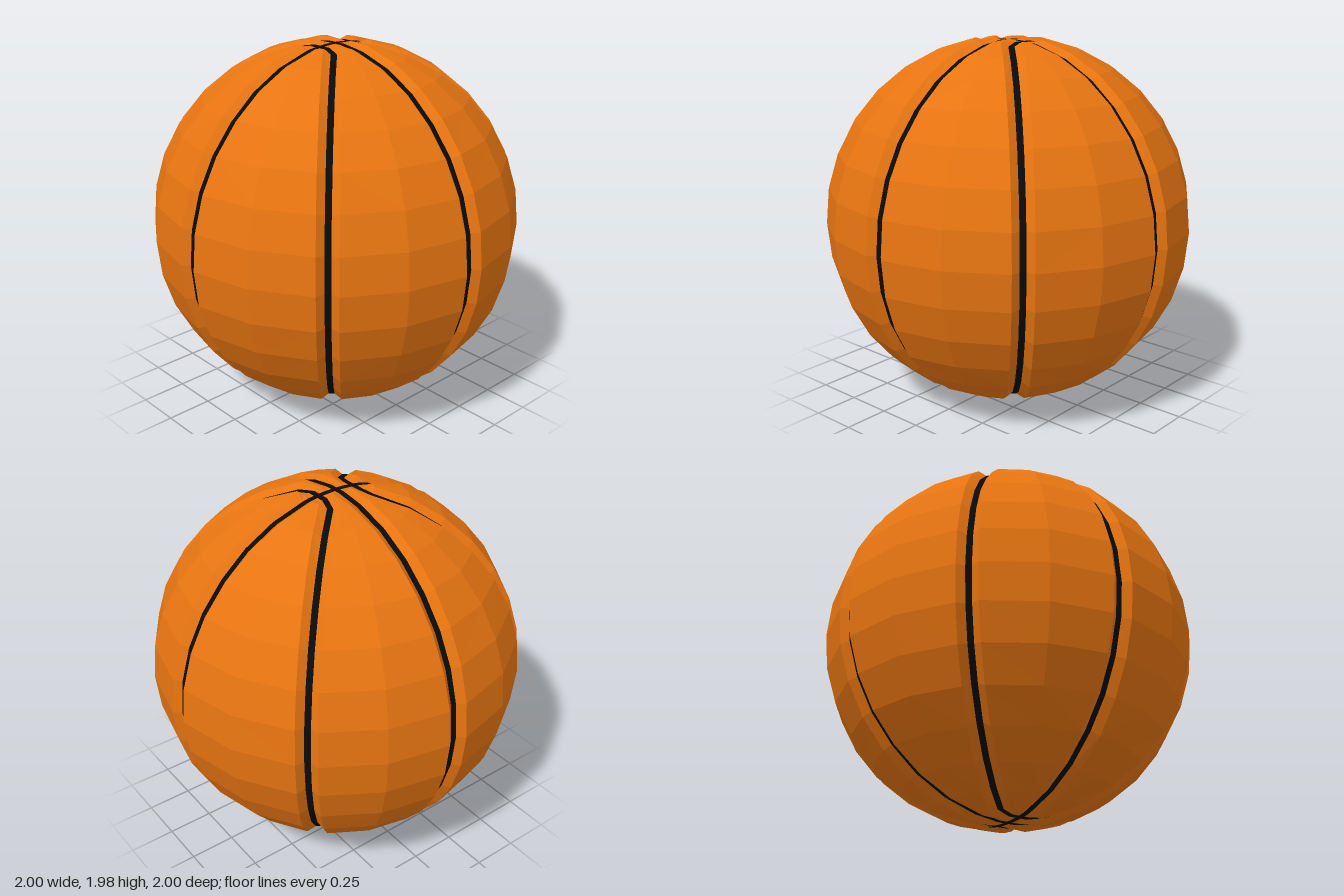
import * as THREE from 'three';

const HALF_GROOVE = 0.055, HALF_LINE = 0.016, CENTRE_Y = 0.991;

// One eighth of the ball: a grid of points from the equator to the last ring.
// Columns run from the x seam, over the diagonal seam, to the z seam.
function octantRows() {
  const rows = [];
  for (let j = 0; j <= 7; j++) {
    const lat = (j * Math.PI) / 16;
    const floor = 0.965 + Math.max(0, j - 4) * 0.004;
    const point = (degrees, offset, r) => {
      const a = THREE.MathUtils.degToRad(degrees) + Math.asin(offset / (r * Math.cos(lat)));
      return new THREE.Vector3(r * Math.cos(lat) * Math.cos(a), r * Math.sin(lat), r * Math.cos(lat) * Math.sin(a));
    };
    rows.push([
      point(0, 0, floor), point(0, HALF_LINE, floor), point(0, HALF_GROOVE, 1),
      point(22.5, 0, 1),
      point(45, -HALF_GROOVE, 1), point(45, -HALF_LINE, floor), point(45, 0, floor),
      point(45, HALF_LINE, floor), point(45, HALF_GROOVE, 1),
      point(67.5, 0, 1),
      point(90, -HALF_GROOVE, 1), point(90, -HALF_LINE, floor), point(90, 0, floor),
    ]);
  }
  return rows;
}

// Pole cap: the diagonal seam bends here and crosses the z seam.
function capRows(ring) {
  const zs = [0, HALF_LINE, 0.055, 0.055, 0.055, 0.092, 0.108, 0.124, 0.163];
  const ridge = [2, 3, 4, 8];
  const rows = [ring.slice(0, 10)];
  [HALF_GROOVE, HALF_LINE, 0].forEach((x, k) => {
    const row = zs.map((z, i) => {
      const y = k === 0 && ridge.includes(i) ? 0.99 : 0.978;
      return new THREE.Vector3(x, y - z * z * 0.5, z);
    });
    rows.push([...row, ring[10 + k]]);
  });
  return rows;
}

export function createModel() {
  const orange = new THREE.MeshStandardMaterial({ color: 0xe87511 });
  const black = new THREE.MeshStandardMaterial({ color: 0x0a0a0a });
  orange.name = 'orange';
  black.name = 'black';

  const parts = { panels: [], grooveWalls: [], seamLines: [] };

  // Adds a triangle to all eight mirrored octants
  const addTriangle = (list, a, b, c) => {
    const area = new THREE.Triangle(a, b, c).getArea();
    if (area < 1e-7) return;
    for (const sx of [1, -1]) for (const sy of [1, -1]) for (const sz of [1, -1]) {
      const corners = sx * sy * sz > 0 ? [a, b, c] : [a, c, b];
      for (const p of corners) list.push(p.x * sx, p.y * sy + CENTRE_Y, p.z * sz);
    }
  };

  const addGrid = (rows, partOf) => {
    for (let j = 0; j < rows.length - 1; j++) {
      for (let i = 0; i < rows[j].length - 1; i++) {
        const list = parts[partOf(i, j)];
        const a = rows[j][i], b = rows[j + 1][i], c = rows[j + 1][i + 1], d = rows[j][i + 1];
        addTriangle(list, a, b, c);
        addTriangle(list, a, c, d);
      }
    }
  };

  const body = octantRows();
  addGrid(body, (i) => {
    if ([0, 5, 6, 11].includes(i)) return 'seamLines';
    return [2, 3, 8, 9].includes(i) ? 'panels' : 'grooveWalls';
  });
  addGrid(capRows(body[7]), (i, j) => ([0, 5, 6].includes(i) || j === 2 ? 'seamLines' : 'grooveWalls'));

  // Unshared corners give each facet its own flat normal
  const group = new THREE.Group();
  group.name = 'ball';
  for (const [name, positions] of Object.entries(parts)) {
    const geometry = new THREE.BufferGeometry();
    geometry.setAttribute('position', new THREE.Float32BufferAttribute(positions, 3));
    geometry.computeVertexNormals();
    const mesh = new THREE.Mesh(geometry, name === 'seamLines' ? black : orange);
    mesh.name = name;
    group.add(mesh);
  }
  return group;
}
